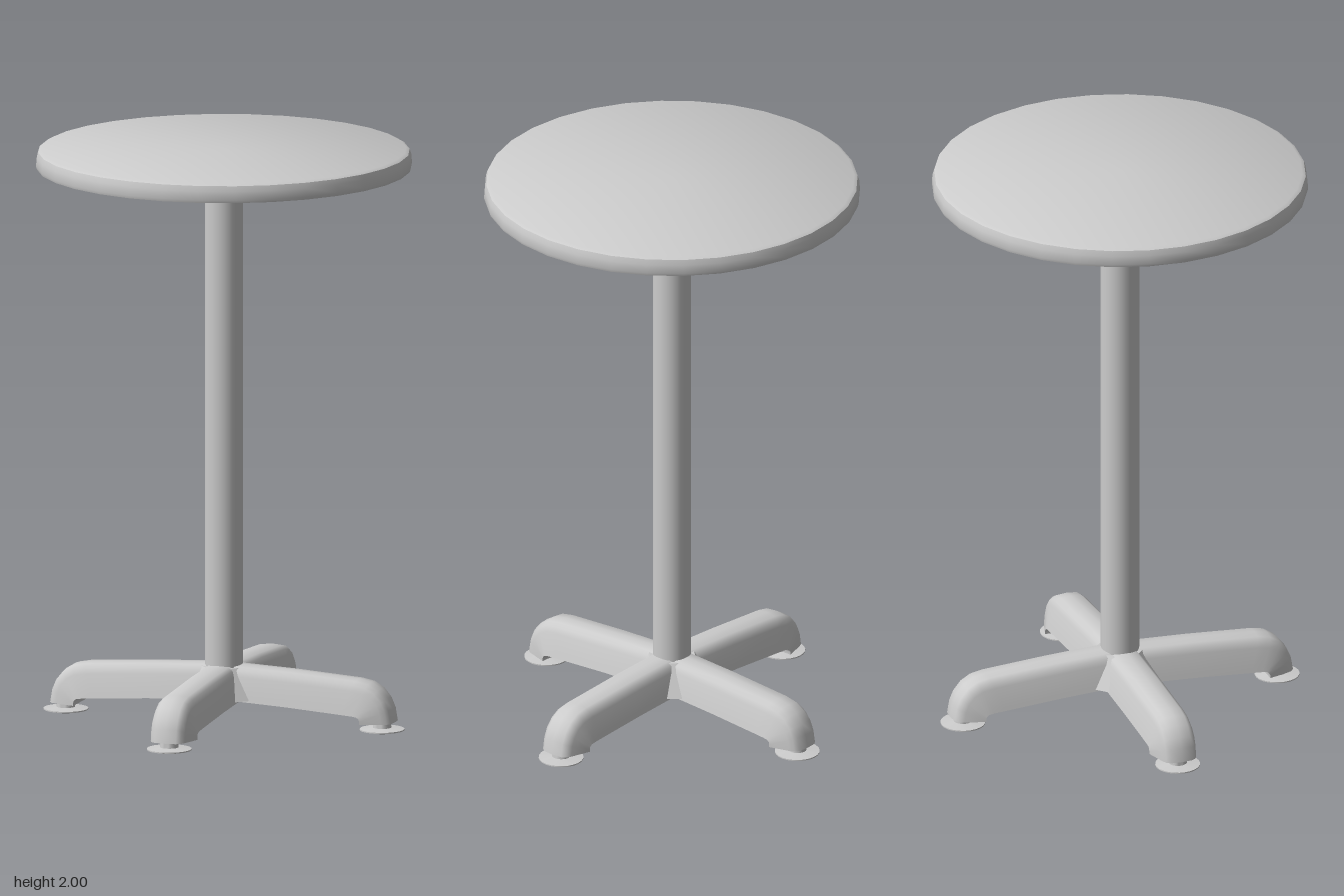
import * as THREE from 'three';
import { toCreasedNormals } from 'three/addons/utils/BufferGeometryUtils.js';

const metal = new THREE.MeshStandardMaterial({ color: 0xcccccc });
metal.name = 'lightGrey';

function part(name, geometry, parent) {
  const mesh = new THREE.Mesh(geometry, metal);
  mesh.name = name;
  parent.add(mesh);
  return mesh;
}

function lathe(points, sides) {
  const g = new THREE.LatheGeometry(points.map(([x, y]) => new THREE.Vector2(x, y)), sides);
  return toCreasedNormals(g, 0.7);
}

// Leg pointing along +x: a rounded trapezoid swept outwards, then bent down to the foot
function legGeometry() {
  // underside x, y, then top x, y
  const stations = [
    [0, 0.095, 0, 0.21], [0.25, 0.082, 0.25, 0.199], [0.45, 0.068, 0.49, 0.183],
    [0.49, 0.065, 0.535, 0.174], [0.508, 0.062, 0.57, 0.153], [0.516, 0.056, 0.597, 0.12],
    [0.518, 0.048, 0.612, 0.085], [0.518, 0.038, 0.62, 0.038],
  ];
  const half = [[1, 0], [0.95, 0.14], [0.74, 0.7], [0.64, 0.87], [0.46, 0.97]];
  const section = [
    ...half.map(([z, u]) => [-z, u]), [0, 1], ...half.slice().reverse(),
  ];
  const n = section.length;
  const width = 0.083;
  const positions = [];
  const index = [];
  stations.forEach(([bx, by, tx, ty], s) => {
    section.forEach(([z, u], i) => {
      positions.push(bx + (tx - bx) * u, by + (ty - by) * u, z * width);
      if (s === stations.length - 1) return;
      const a = s * n + i, b = s * n + (i + 1) % n;
      index.push(a, b, a + n, b, b + n, a + n);
    });
  });
  // foot underside
  const last = (stations.length - 1) * n;
  for (let i = 1; i < n - 1; i++) index.push(last, last + i, last + i + 1);
  const g = new THREE.BufferGeometry();
  g.setAttribute('position', new THREE.Float32BufferAttribute(positions, 3));
  g.setIndex(index);
  return toCreasedNormals(g, 0.75);
}

export function createModel() {
  const table = new THREE.Group();
  table.name = 'pedestalTable';

  // Round top with a softened upper rim
  part('tableTop', lathe([
    [0, 1.935], [0.642, 1.935], [0.645, 1.945], [0.643, 1.975], [0.637, 1.993], [0.625, 2], [0, 2],
  ], 32), table);

  // Column
  const column = part('column', new THREE.CylinderGeometry(0.066, 0.066, 1.755, 32, 1, true), table);
  column.position.y = 1.0625;

  // Hub filling the corners between the legs
  const hub = part('hub', toCreasedNormals(new THREE.CylinderGeometry(0.11, 0.2, 0.105, 4), 0.5), table);
  hub.position.y = 0.1475;

  // Four legs, each on a levelling glide
  const leg = legGeometry();
  const glide = lathe([
    [0, 0], [0.045, 0.002], [0.077, 0.009], [0.077, 0.013], [0.032, 0.018], [0.03, 0.045],
  ], 24);
  for (let i = 0; i < 4; i++) {
    const arm = new THREE.Group();
    arm.name = 'legAssembly' + (i + 1);
    arm.rotation.y = i * Math.PI / 2;
    part('leg', leg, arm);
    part('glide', glide, arm).position.x = 0.573;
    table.add(arm);
  }
  return table;
}
